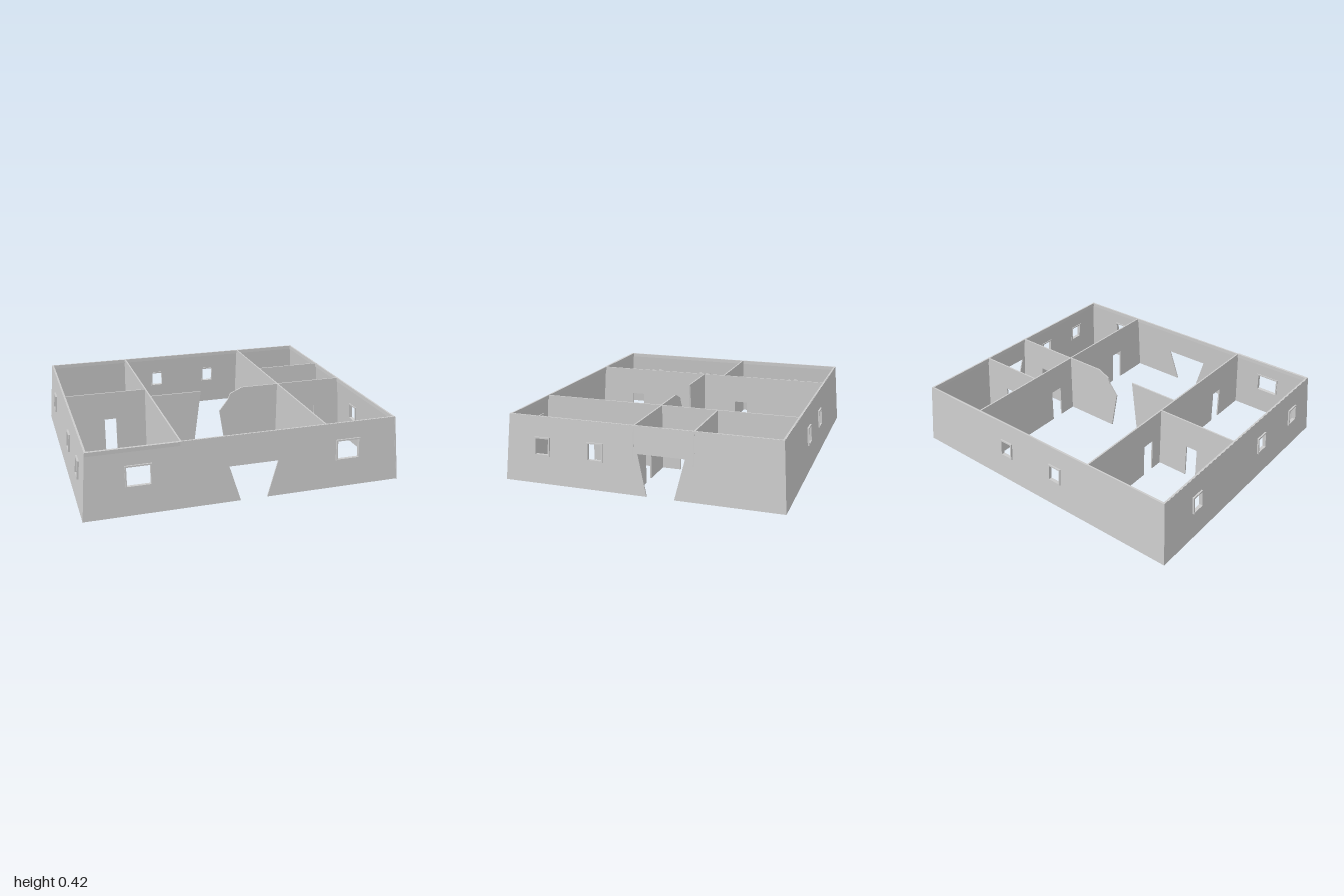
import * as THREE from 'three';

const H = 0.415, T = 0.008, DOOR = 0.225;
const material = new THREE.MeshStandardMaterial({ color: 0xcccccc, flatShading: true, side: THREE.DoubleSide });

function mesh(geometry, name) {
  const m = new THREE.Mesh(geometry, material);
  m.name = name;
  return m;
}

function slab(shape, depth, back) {
  return new THREE.ExtrudeGeometry(shape, { depth, bevelEnabled: false }).translate(0, 0, back);
}

// Panel outline: base and top spans, with openings cut up from the ground
function panel([b0, b1], [t0, t1], doors = []) {
  const pts = [[b0, 0]];
  for (const d of doors) pts.push([d.b0, 0], [d.t0, d.h], [d.t1, d.h], [d.b1, 0]);
  pts.push([b1, 0], [t1, H], [t0, H]);
  return new THREE.Shape(pts.map(p => new THREE.Vector2(...p)));
}

const door = (a, b, h = DOOR) => ({ b0: a, b1: b, t0: a, t1: b, h });

function rectPath(x0, x1, y0, y1, Type = THREE.Path) {
  return new Type([[x0, y0], [x1, y0], [x1, y1], [x0, y1]].map(p => new THREE.Vector2(...p)));
}

// Leaning outer wall with framed windows [x0, x1, y0, y1]
function outerWall(name, angle, distance, baseHalf, topHalf, lean, windows, doors) {
  const g = new THREE.Group();
  g.name = name;
  const leaning = new THREE.Group();
  leaning.rotation.x = -Math.atan(lean / H);
  const shape = panel([-baseHalf, baseHalf], [-topHalf, topHalf], doors);
  for (const w of windows) {
    shape.holes.push(rectPath(...w));
    const [x0, x1, y0, y1] = w, f = 0.009;
    const ring = rectPath(x0, x1, y0, y1, THREE.Shape);
    ring.holes.push(rectPath(x0 + f, x1 - f, y0 + f, y1 - f));
    leaning.add(mesh(slab(ring, 0.024, -0.013), 'windowFrame'));
  }
  leaning.add(mesh(slab(shape, T, -T), name + 'Panel'));
  g.add(leaning);
  // Rim along the inside of the top edge
  const rim = mesh(new THREE.BoxGeometry(topHalf * 2, 0.025, 0.011), 'topRim');
  rim.position.set(0, H - 0.0125, -lean - 0.0065);
  g.add(rim);
  g.children.forEach(c => { c.position.z += distance; });
  g.rotation.y = angle;
  return g;
}

// Partition running along x at a given z, or along z at a given x
function partition(name, axis, at, base, top, doors) {
  const m = mesh(slab(panel(base, top, doors), 0.01, -0.005), name);
  if (axis === 'z') {
    m.rotation.y = -Math.PI / 2;
    m.position.x = at;
  } else m.position.z = at;
  return m;
}

export function createModel() {
  const group = new THREE.Group();
  group.name = 'house';
  const small = (a, b) => [a, b, 0.175, 0.29];

  // Outer walls
  group.add(
    outerWall('frontWall', 0, 0.873, 1, 0.965, 0.03,
      [[-0.745, -0.585, 0.175, 0.31], [0.567, 0.727, 0.175, 0.31]],
      [{ b0: -0.05, b1: 0.12, t0: -0.12, t1: 0.19, h: 0.225 }]),
    outerWall('backWall', Math.PI, 0.875, 1, 0.965, 0.03,
      [small(-0.3, -0.205), small(0.112, 0.208)], []),
    outerWall('leftWall', Math.PI / 2, 1, 0.875, 0.845, 0.035,
      [small(-0.675, -0.573), small(-0.33, -0.228)],
      [{ b0: 0.05, b1: 0.22, t0: -0.01, t1: 0.28, h: 0.25 }]),
    outerWall('rightWall', -Math.PI / 2, 1, 0.875, 0.845, 0.035,
      [small(-0.58, -0.483), small(0.16, 0.26), small(0.573, 0.67)], []));

  // Front corner room beam, just proud of the leaning wall
  const beam = mesh(new THREE.BoxGeometry(0.55, 0.025, 0.01), 'frontBeam');
  beam.position.set(-0.69, H - 0.0125, 0.843);
  group.add(beam);

  // Long partitions from front to back
  const base = [-0.874, 0.872], top = [-0.844, 0.842];
  group.add(
    partition('rightLongPartition', 'z', -0.41, base, top, [door(-0.29, -0.2), door(0.525, 0.61)]),
    partition('leftLongPartition', 'z', 0.5, base, top, [door(-0.175, -0.087), door(0.515, 0.607)]));

  // Cross partitions
  group.add(
    partition('rightCrossPartition', 'x', -0.11, [-0.998, -0.41], [-0.963, -0.41], [door(-0.7, -0.62)]),
    partition('leftCrossPartition', 'x', 0.037, [0.5, 0.999], [0.5, 0.966], [door(0.705, 0.79)]),
    partition('leftRearPartition', 'x', -0.33, [0.5, 0.999], [0.5, 0.966], [door(0.705, 0.79)]),
    partition('hallPartition', 'x', 0.04, [-0.41, -0.113], [-0.41, -0.06], []));

  // Hall partition with a broken edge
  const broken = new THREE.Shape([[0.5, 0], [0.5, H], [0.235, H], [0.152, 0.377],
    [0.135, 0.335], [0.075, 0.258], [0.118, 0]].map(p => new THREE.Vector2(...p)));
  const hall = mesh(slab(broken, 0.01, -0.005), 'brokenHallPartition');
  hall.position.z = 0.04;
  group.add(hall);

  return group;
}
